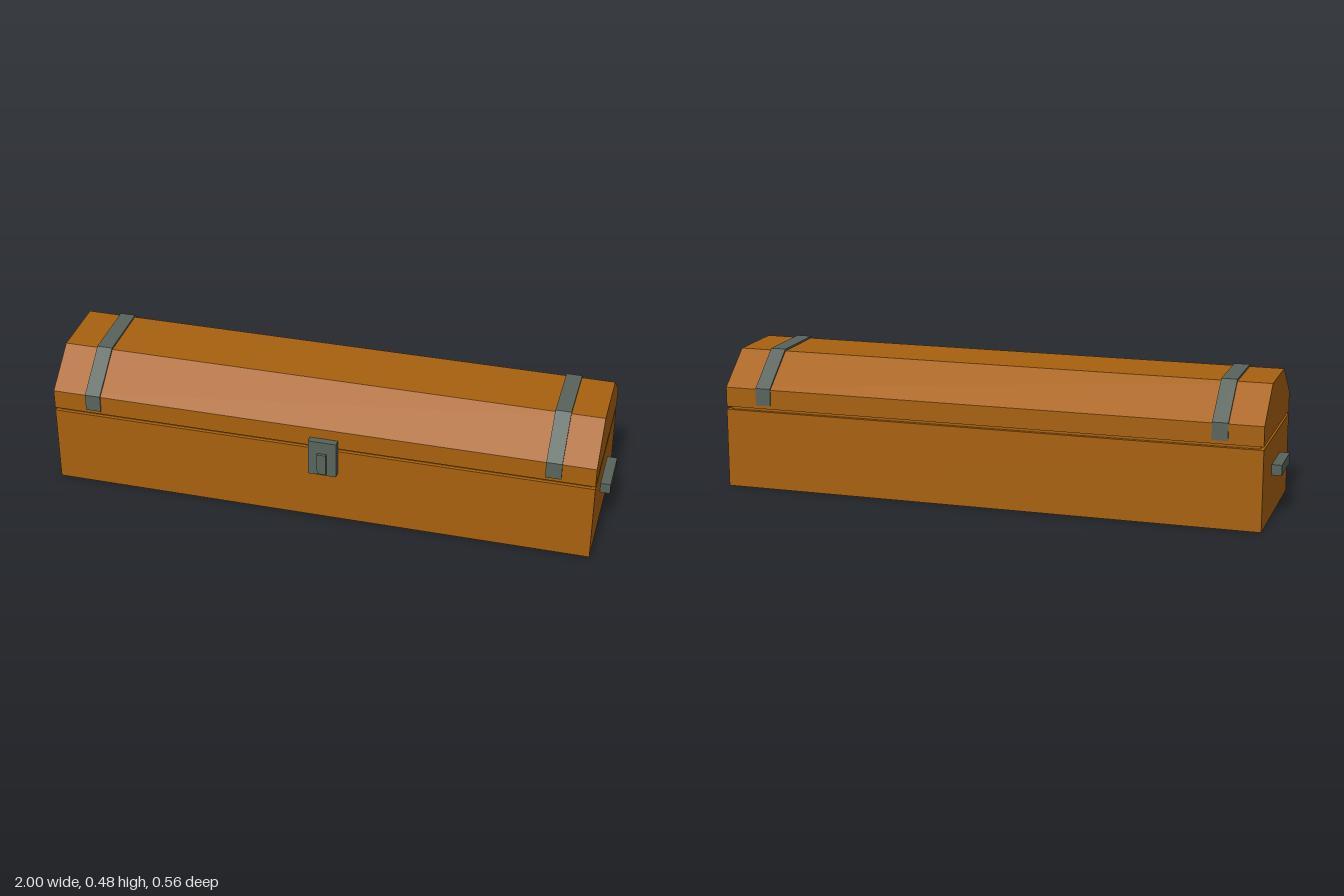
import * as THREE from 'three';

const wood = new THREE.MeshStandardMaterial({ color: 0xa8610f });
wood.name = 'brown wood';
const iron = new THREE.MeshStandardMaterial({ color: 0x58635b });
iron.name = 'grey iron';

// Box given by its lower and upper corners
function box(name, material, [x0, y0, z0], [x1, y1, z1]) {
  const mesh = new THREE.Mesh(new THREE.BoxGeometry(x1 - x0, y1 - y0, z1 - z0), material);
  mesh.position.set((x0 + x1) / 2, (y0 + y1) / 2, (z0 + z1) / 2);
  mesh.name = name;
  return mesh;
}

// Prism with a [z, y] outline, running along x
function prism(name, material, outline, width, centreX) {
  const shape = new THREE.Shape(outline.map(([z, y]) => new THREE.Vector2(-z, y)));
  const geometry = new THREE.ExtrudeGeometry(shape, { depth: width, bevelEnabled: false });
  geometry.translate(0, 0, -width / 2).rotateY(Math.PI / 2);
  const mesh = new THREE.Mesh(geometry, material);
  mesh.position.x = centreX;
  mesh.name = name;
  return mesh;
}

export function createModel() {
  const chest = new THREE.Group();
  chest.name = 'chest';

  // Body, recessed seam and faceted lid
  chest.add(box('body', wood, [-0.965, 0, -0.277], [0.965, 0.283, 0.247]));
  chest.add(box('seam', wood, [-0.952, 0.27, -0.263], [0.952, 0.3, 0.234]));
  chest.add(prism('lid', wood, [
    [0.247, 0.294], [0.247, 0.364], [0.103, 0.477],
    [-0.133, 0.477], [-0.277, 0.364], [-0.277, 0.294],
  ], 1.93, 0));

  // Straps wrapped over the lid
  for (const [name, x] of [['rightStrap', -0.818], ['leftStrap', 0.822]]) {
    chest.add(prism(name, iron, [
      [0.252, 0.307], [0.252, 0.368], [0.105, 0.484],
      [-0.135, 0.484], [-0.281, 0.368], [-0.281, 0.307],
    ], 0.055, x));
  }

  // Handles on both ends
  for (const [name, side] of [['rightHandle', -1], ['leftHandle', 1]]) {
    const handle = box(name, iron, [0.95, 0.151, -0.1], [1, 0.188, 0.07]);
    handle.position.x *= side;
    chest.add(handle);
  }

  // Latch plate with a raised hasp
  const latch = new THREE.Group();
  latch.name = 'latch';
  latch.add(box('latchPlate', iron, [-0.026, 0.192, 0.235], [0.074, 0.327, 0.272]));
  latch.add(box('hasp', iron, [0.008, 0.202, 0.265], [0.04, 0.281, 0.282]));
  chest.add(latch);

  return chest;
}
